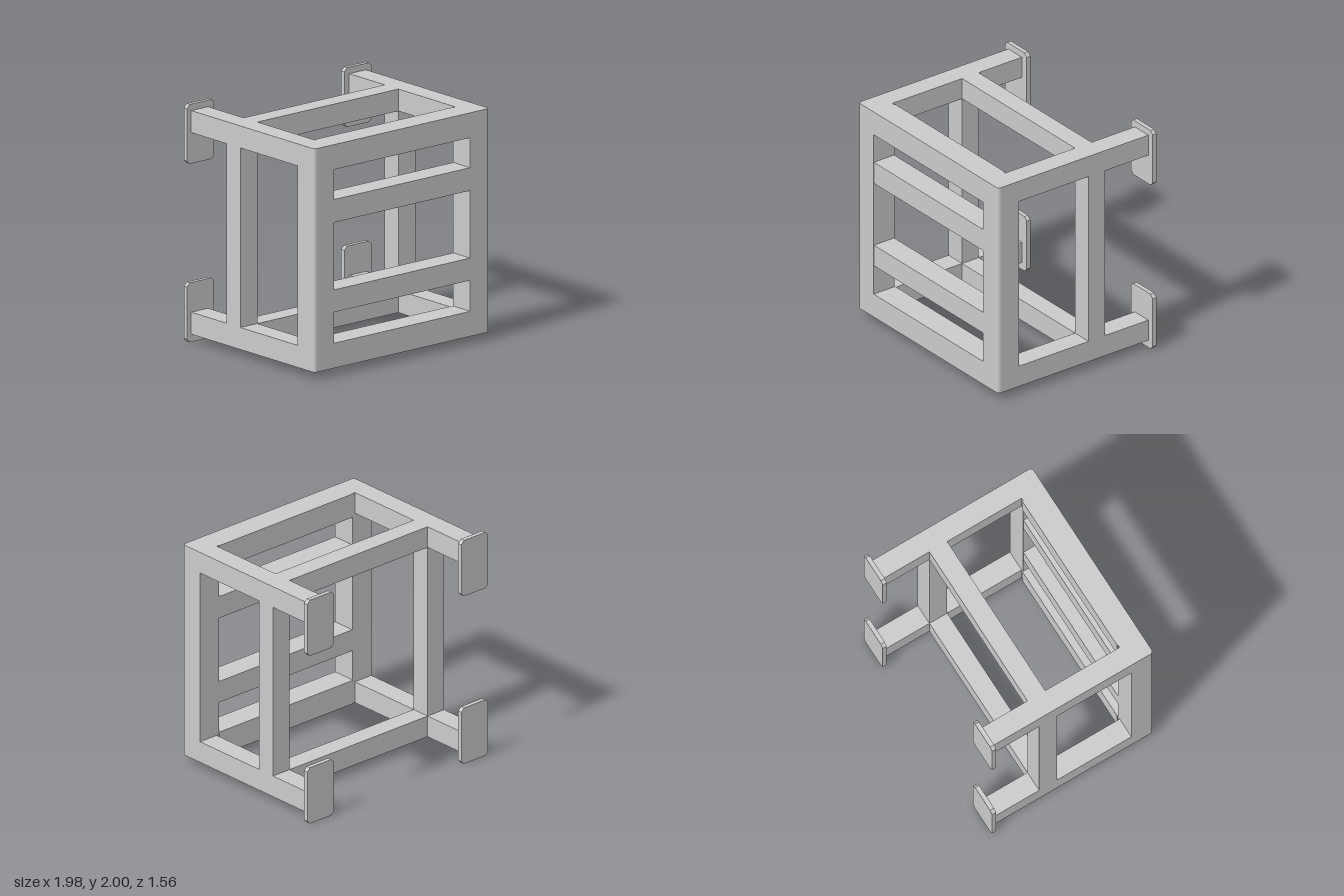
import * as THREE from 'three';

const material = new THREE.MeshStandardMaterial({ color: 0xcccccc });

// Square bar given by its limits on each axis
function bar(name, [x0, x1], [y0, y1], [z0, z1]) {
  const mesh = new THREE.Mesh(new THREE.BoxGeometry(x1 - x0, y1 - y0, z1 - z0), material);
  mesh.position.set((x0 + x1) / 2, (y0 + y1) / 2, (z0 + z1) / 2);
  mesh.name = name;
  return mesh;
}

// Front upright with a rounded outer front corner
function frontPost(side) {
  const outer = 0.936 * side, inner = 0.73 * side, r = 0.03;
  const s = new THREE.Shape();
  // shape y is -z, so the extrusion points up after rotation
  s.moveTo(inner, -0.57);
  s.lineTo(outer, -0.57);
  s.lineTo(outer, -0.78 + r);
  s.quadraticCurveTo(outer, -0.78, outer - r * side, -0.78);
  s.lineTo(inner, -0.78);
  s.closePath();
  const geo = new THREE.ExtrudeGeometry(s, { depth: 1.88, bevelEnabled: false, curveSegments: 6 });
  geo.rotateX(-Math.PI / 2);
  const mesh = new THREE.Mesh(geo, material);
  mesh.position.y = 0.065;
  mesh.name = side > 0 ? 'leftFrontPost' : 'rightFrontPost';
  return mesh;
}

// Mounting plate with clipped corners
function plate(name, x, y) {
  const w = 0.146, h = 0.25, c = 0.03;
  const s = new THREE.Shape([
    [-w + c, -h], [w - c, -h], [w, -h + c], [w, h - c],
    [w - c, h], [-w + c, h], [-w, h - c], [-w, -h + c],
  ].map(([px, py]) => new THREE.Vector2(px, py)));
  const mesh = new THREE.Mesh(new THREE.ExtrudeGeometry(s, { depth: 0.038, bevelEnabled: false }), material);
  mesh.position.set(x, y, -0.784);
  mesh.name = name;
  return mesh;
}

export function createModel() {
  const model = new THREE.Group();
  model.name = 'mountedFrame';
  const frame = new THREE.Group();
  frame.name = 'frame';
  frame.position.x = -0.006;
  model.add(frame);

  // Front face: top and bottom beams with two rails between
  const span = [-0.73, 0.73];
  frame.add(
    bar('topFrontBeam', span, [1.735, 1.945], [0.562, 0.78]),
    bar('bottomFrontBeam', span, [0.065, 0.275], [0.562, 0.78]),
    bar('upperRail', span, [1.29, 1.483], [0.572, 0.779]),
    bar('lowerRail', span, [0.535, 0.723], [0.572, 0.779]),
  );

  // Rear cross members
  const rearZ = [-0.307, -0.138];
  const inside = [-0.755, 0.755];
  frame.add(
    bar('topCrossbar', inside, [1.76, 1.945], rearZ),
    bar('bottomCrossbar', inside, [0.065, 0.25], rearZ),
  );

  // Uprights, arms and plates on both sides
  for (const side of [1, -1]) {
    const label = side > 0 ? 'left' : 'right';
    const armX = side > 0 ? [0.755, 0.936] : [-0.936, -0.755];
    frame.add(
      frontPost(side),
      bar(label + 'RearPost', armX, [0.25, 1.76], rearZ),
      bar(label + 'TopArm', armX, [1.76, 1.945], [-0.746, 0.57]),
      bar(label + 'BottomArm', armX, [0.065, 0.25], [-0.746, 0.57]),
    );
    model.add(
      plate(label + 'TopPlate', 0.842 * side, 1.75),
      plate(label + 'BottomPlate', 0.842 * side, 0.25),
    );
  }
  return model;
}
